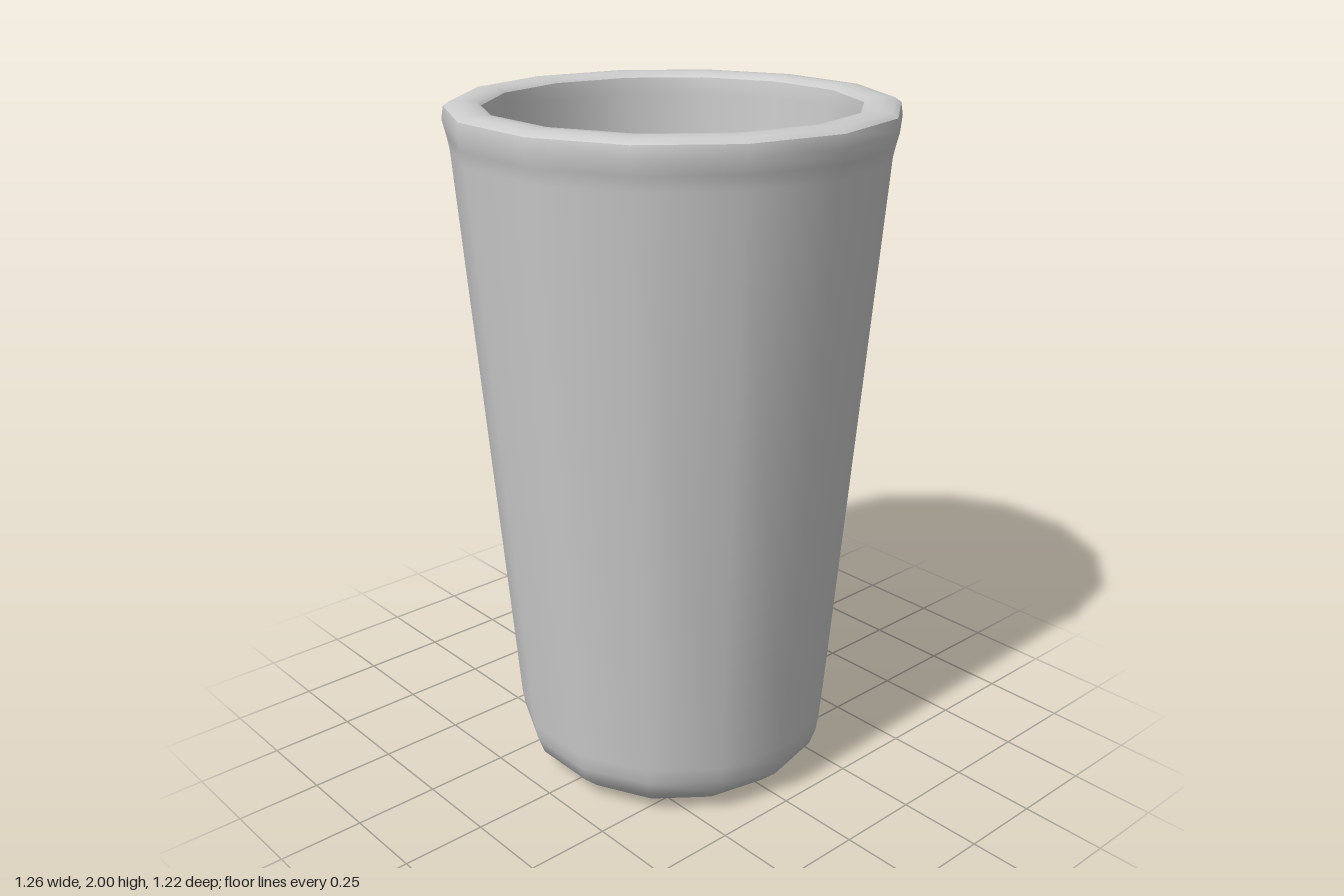
import * as THREE from 'three';

const SIDES = 14;
const material = new THREE.MeshStandardMaterial({ color: 0xcccccc });

// Revolve a [radius, height] profile, with a corner on the x axis
function turned(name, profile) {
  const points = profile.map(([r, y]) => new THREE.Vector2(r, y));
  const mesh = new THREE.Mesh(new THREE.LatheGeometry(points, SIDES, Math.PI / 2), material);
  mesh.name = name;
  return mesh;
}

export function createModel() {
  const cup = new THREE.Group();
  cup.name = 'cup';

  // Flat underside
  cup.add(turned('base', [[0, 0], [0.32, 0]]));

  // Rounded foot, tapering wall and slightly flared lip
  cup.add(turned('outerWall', [
    [0.32, 0], [0.395, 0.02], [0.45, 0.07], [0.468, 0.12], [0.476, 0.17],
    [0.61, 1.87], [0.618, 1.91], [0.628, 1.95], [0.622, 1.985],
  ]));

  // Softly rounded top edge
  cup.add(turned('rim', [
    [0.622, 1.985], [0.605, 1.997], [0.57, 2], [0.535, 1.997], [0.52, 1.985],
  ]));

  // Inside wall, running down to the floor
  cup.add(turned('innerWall', [[0.52, 1.985], [0.513, 1.94], [0.402, 0.2]]));
  cup.add(turned('innerFloor', [[0.402, 0.2], [0, 0.2]]));

  return cup;
}
